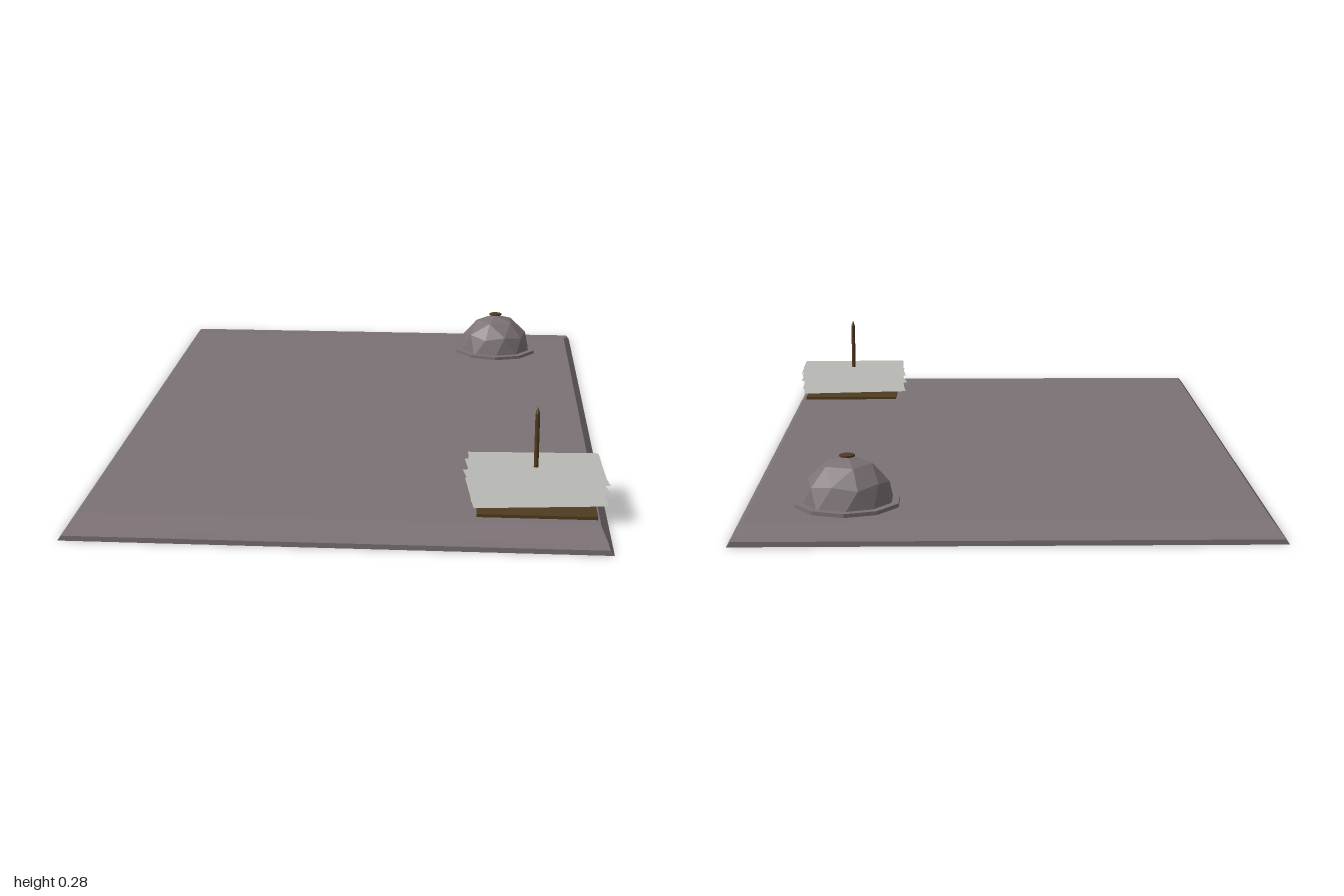
import * as THREE from 'three';

export function createModel() {
  const model = new THREE.Group();
  const mat = (name, color, extra = {}) =>
    Object.assign(new THREE.MeshStandardMaterial({ color, flatShading: true, ...extra }), { name });
  const stone = mat('warm grey', 0x7c7276);
  const brass = mat('dark brass', 0x503c20);
  const paper = mat('paper', 0xb8b9b5, { side: THREE.DoubleSide });

  const add = (name, geometry, material, x, y, z, parent = model) => {
    const mesh = new THREE.Mesh(geometry, material);
    mesh.name = name;
    mesh.position.set(x, y, z);
    parent.add(mesh);
    return mesh;
  };

  // Counter slab: trapezoid sections along z, thinner at both ends
  const sections = [[-1, 0.013], [-0.96, 0.015], [-0.89, 0.031], [0.89, 0.031], [0.96, 0.015], [1, 0.013]];
  const pos = [], idx = [];
  for (const [z, h] of sections) {
    const inset = h * 0.8;
    pos.push(-0.69, 0, z, 0.66, 0, z, 0.66 - inset, h, z, -0.69 + inset, h, z);
  }
  for (let s = 0; s < sections.length - 1; s++) {
    for (let k = 0; k < 4; k++) {
      const a = s * 4 + k, b = s * 4 + (k + 1) % 4;
      idx.push(a, b, b + 4, a, b + 4, a + 4);
    }
  }
  const e = (sections.length - 1) * 4;
  idx.push(0, 2, 1, 0, 3, 2, e, e + 1, e + 2, e, e + 2, e + 3);
  const slab = new THREE.BufferGeometry();
  slab.setAttribute('position', new THREE.Float32BufferAttribute(pos, 3));
  slab.setIndex(idx);
  const slabGeo = slab.toNonIndexed();
  slabGeo.computeVertexNormals();
  add('counterSlab', slabGeo, stone, 0, 0, 0);

  // Desk bell: flange, faceted half dome and push button
  const bell = new THREE.Group();
  bell.name = 'deskBell';
  bell.position.set(0.39, 0, -0.725);
  model.add(bell);
  add('bellFlange', new THREE.CylinderGeometry(0.138, 0.138, 0.011, 10), stone, 0, 0.0355, 0, bell);
  const dome = new THREE.IcosahedronGeometry(0.12, 1);
  dome.rotateZ(Math.atan(2 / (1 + Math.sqrt(5))));
  const p = dome.attributes.position;
  for (let i = 0; i < p.count; i++) p.setY(i, Math.max(0, p.getY(i)));
  dome.computeVertexNormals();
  add('bellDome', dome, stone, 0, 0.034, 0, bell);
  add('buttonStem', new THREE.CylinderGeometry(0.008, 0.008, 0.012, 8), brass, 0, 0.15, 0, bell);
  add('buttonCap', new THREE.CylinderGeometry(0.02, 0.02, 0.005, 8), brass, 0, 0.1565, 0, bell);

  // Receipt spike: base plate, needle and loose sheets
  const holder = new THREE.Group();
  holder.name = 'receiptSpike';
  holder.position.set(0.48, 0, 0.703);
  model.add(holder);
  add('basePlate', new THREE.BoxGeometry(0.3, 0.009, 0.295), brass, 0, 0.0345, 0, holder);
  add('needle', new THREE.CylinderGeometry(0.006, 0.006, 0.22, 8), brass, 0, 0.147, 0, holder);
  add('needleTip', new THREE.ConeGeometry(0.006, 0.018, 8), brass, 0, 0.266, 0, holder);
  [6, 3, 10, 1, 7, 2].forEach((degrees, i) => {
    const sheet = new THREE.PlaneGeometry(0.34, 0.222).rotateX(-Math.PI / 2);
    const mesh = add('paperSheet', sheet, paper, 0, 0.047 + i * 0.0135, 0, holder);
    mesh.rotation.y = THREE.MathUtils.degToRad(degrees);
  });

  return model;
}
